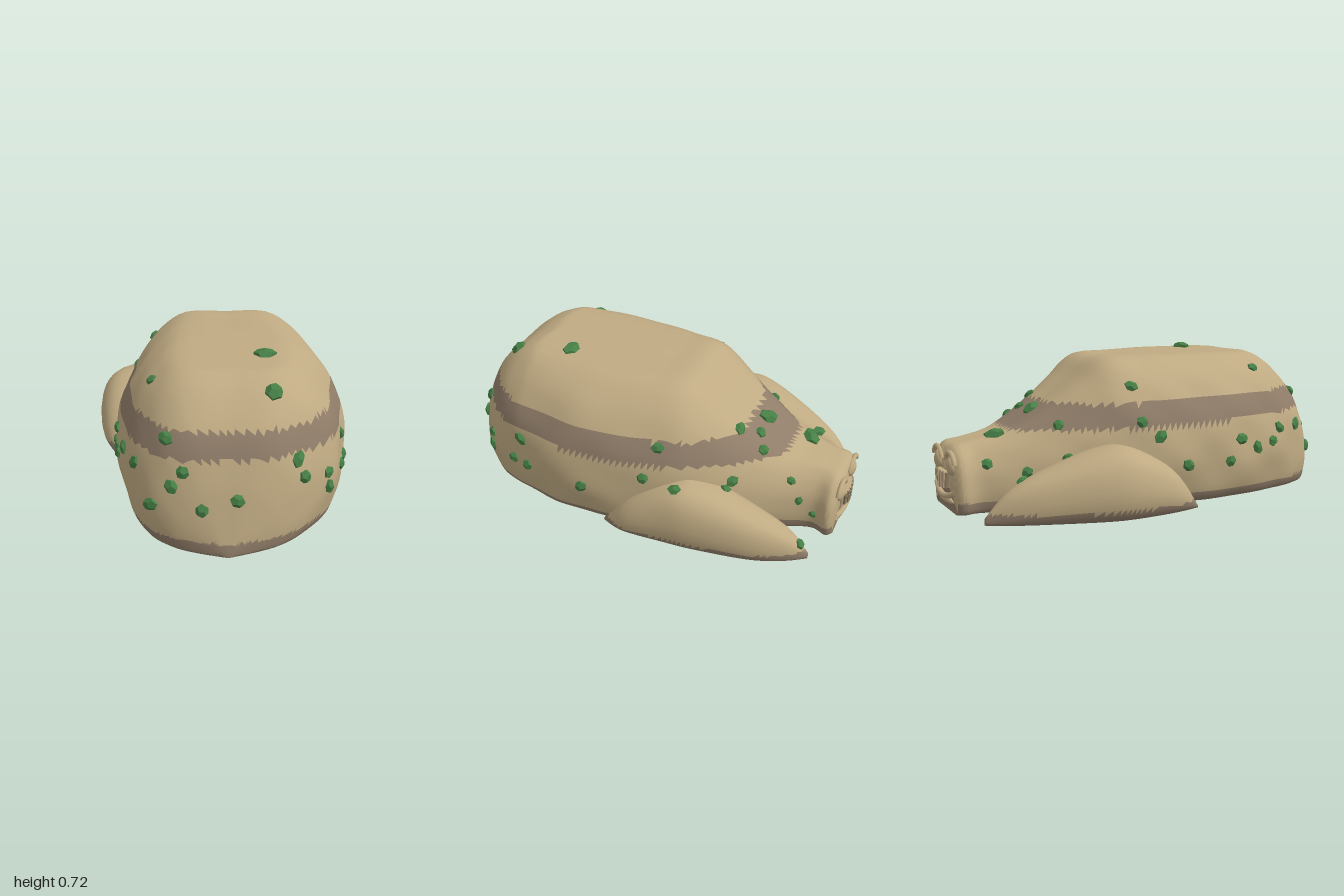
import * as THREE from 'three';
import { toCreasedNormals } from 'three/addons/utils/BufferGeometryUtils.js';

const mat = (name, color) => Object.assign(new THREE.MeshStandardMaterial({ color }), { name });

// Uniform Catmull-Rom interpolation of rows of numbers
function resample(rows, sub) {
  const out = [], n = rows.length - 1, at = (i) => rows[Math.max(0, Math.min(n, i))];
  for (let k = 0; k <= n * sub; k++) {
    const i = Math.min(n - 1, Math.floor(k / sub)), t = k / sub - i;
    const [a, b, c, d] = [at(i - 1), at(i), at(i + 1), at(i + 2)];
    out.push(b.map((p, m) => p + 0.5 * t * (c[m] - a[m] + t * (2 * a[m] - 5 * p + 4 * c[m] - d[m]
      + t * (3 * (p - c[m]) + d[m] - a[m])))));
  }
  return out;
}

// Loft along z. Stations are [z, xMin, xMax, height]; half is the right half of the section.
// isDark(y, z) picks the second material for a face.
function loft(stations, half, sub, samples, isDark, bump, top = 9) {
  const curve = new THREE.SplineCurve(half.map(([u, v]) => new THREE.Vector2(u, v)));
  const right = curve.getPoints(samples);
  const ring = [...right, ...right.slice(0, -1).reverse().map((p) => new THREE.Vector2(-p.x, p.y))];
  const rows = resample(stations, sub), m = ring.length, pos = [];
  for (const [z, x0, x1, h] of rows) {
    for (const p of ring) {
      const y = Math.max(0, Math.min(top, p.y * h));
      const swell = 1 + bump * Math.sin(z * 17 + p.x * 5) * Math.sin(y * 19 + p.x * 3 + z * 5);
      pos.push((x0 + x1) / 2 + p.x * swell * (x1 - x0) / 2, y, z);
    }
  }
  const last = rows.length - 1;
  for (const r of [rows[0], rows[last]]) pos.push((r[1] + r[2]) / 2, r[3] / 2, r[0]);
  const lists = [[], []];
  const tri = (...ids) => {
    const mean = (k) => ids.reduce((s, i) => s + pos[i * 3 + k], 0) / 3;
    lists[isDark(mean(1), mean(2)) ? 1 : 0].push(...ids);
  };
  const c0 = rows.length * m;
  for (let j = 0; j < m; j++) {
    const k = (j + 1) % m;
    for (let i = 0; i < last; i++) {
      const a = i * m + j, b = i * m + k;
      tri(a, b, a + m);
      tri(b, b + m, a + m);
    }
    tri(c0, k, j);
    tri(c0 + 1, last * m + j, last * m + k);
  }
  const geo = new THREE.BufferGeometry();
  geo.setAttribute('position', new THREE.Float32BufferAttribute(pos, 3));
  geo.setIndex([...lists[0], ...lists[1]]);
  geo.addGroup(0, lists[0].length, 0);
  geo.addGroup(lists[0].length, lists[1].length, 1);
  return toCreasedNormals(geo, 0.9);
}

export function createModel() {
  const model = new THREE.Group();
  const tan = mat('sandy hide', 0xbfaa82);
  const brown = mat('brown band', 0x907d69);
  const green = mat('green growth', 0x467f46);
  const add = (name, geo, material, parent = model) => {
    const mesh = new THREE.Mesh(geo, material);
    mesh.name = name;
    parent.add(mesh);
    return mesh;
  };

  // Domed body running into neck and head, with a band round the shell and a dark underside
  const body = add('body', loft([
    [-0.96, -0.16, 0.21, 0.29], [-0.93, -0.185, 0.24, 0.31], [-0.85, -0.175, 0.215, 0.325],
    [-0.7, -0.24, 0.28, 0.36], [-0.5, -0.33, 0.39, 0.47], [-0.35, -0.39, 0.46, 0.58],
    [-0.22, -0.43, 0.51, 0.68], [-0.05, -0.47, 0.56, 0.69], [0.12, -0.49, 0.595, 0.695],
    [0.3, -0.5, 0.6, 0.7], [0.5, -0.475, 0.565, 0.7], [0.6, -0.45, 0.54, 0.69],
    [0.72, -0.41, 0.49, 0.63], [0.85, -0.34, 0.37, 0.5], [0.92, -0.25, 0.27, 0.33],
    [0.96, -0.15, 0.17, 0.18], [1, 0.01, 0.03, 0.01],
  ], [[0.82, 0], [0.93, 0.04], [0.99, 0.2], [1, 0.36], [0.95, 0.58], [0.83, 0.76], [0.67, 0.9], [0.42, 1], [0, 1]],
  6, 30, (y, z) => y < 0.06 || (y > 0.385 + 0.025 * z && y < 0.495 + 0.025 * z), 0.012, 0.695), [tan, brown]);

  // Flippers
  const flipperHalf = [[0.65, 0], [0.9, 0.1], [1, 0.4], [0.85, 0.75], [0.5, 0.95], [0, 1]];
  const flipper = (name, rows) => add(name, loft(rows, flipperHalf, 6, 14, (y) => y < 0.05, 0), [tan, brown]);
  const flippers = [
    flipper('rightFlipper', [
      [-0.9, -0.36, -0.34, 0.03], [-0.8, -0.43, -0.32, 0.14], [-0.65, -0.51, -0.28, 0.22],
      [-0.4, -0.615, -0.25, 0.305], [-0.25, -0.635, -0.25, 0.31], [-0.05, -0.605, -0.3, 0.2], [0.08, -0.53, -0.45, 0.02],
    ]),
    flipper('leftFlipper', [
      [-0.9, 0.385, 0.4, 0.03], [-0.8, 0.35, 0.48, 0.14], [-0.65, 0.33, 0.55, 0.22],
      [-0.4, 0.3, 0.605, 0.305], [-0.25, 0.3, 0.62, 0.31], [-0.05, 0.3, 0.625, 0.2], [0.08, 0.5, 0.56, 0.02],
    ]),
  ];

  // Face
  const face = new THREE.Group();
  face.name = 'face';
  face.position.set(0.027, 0, -0.96);
  model.add(face);
  for (const s of [-1, 1]) {
    const eye = add('eye', new THREE.SphereGeometry(0.042, 20, 14), tan, face);
    eye.position.set(s * 0.1, 0.215, 0);
    eye.scale.z = 0.55;
    const brow = add('brow', new THREE.TorusGeometry(0.057, 0.012, 8, 20, Math.PI * 0.85), tan, face);
    brow.position.set(s * 0.1, 0.222, -0.005);
    brow.rotation.z = 0.235;
    brow.scale.x = 1.2;
  }
  // Fan of thin teeth on a raised muzzle
  const muzzle = add('muzzle', new THREE.CylinderGeometry(0.085, 0.06, 0.075, 20), tan, face);
  muzzle.position.set(0, 0.145, 0);
  muzzle.scale.z = 0.35;
  for (let i = -5; i <= 5; i++) {
    const a = i / 5;
    const tooth = add('tooth', new THREE.BoxGeometry(0.005, 0.078, 0.009), i % 2 ? brown : tan, face);
    tooth.position.set(a * 0.063, 0.146, -0.031 + 0.013 * a * a);
    tooth.rotation.z = -a * 0.25;
  }
  // Wide upturned lip
  const lipCurve = new THREE.QuadraticBezierCurve3(
    new THREE.Vector3(-0.145, 0.1, 0), new THREE.Vector3(0, 0.035, -0.03), new THREE.Vector3(0.145, 0.1, 0));
  add('lip', new THREE.TubeGeometry(lipCurve, 24, 0.014, 8), tan, face);
  const lower = add('lowerLip', new THREE.SphereGeometry(0.12, 20, 12), tan, face);
  lower.scale.set(1, 0.15, 0.16);
  lower.position.set(0, 0.05, 0);

  // Green growths: cast onto the surface from above, behind and both sides
  const growths = new THREE.Group();
  growths.name = 'growths';
  model.add(growths);
  model.updateMatrixWorld(true);
  const ray = new THREE.Raycaster();
  let count = 0;
  const grow = (from, dir, size) => {
    ray.set(from, dir);
    const hit = ray.intersectObjects([body, ...flippers], false)[0];
    if (!hit) return;
    const lump = add('growth', new THREE.DodecahedronGeometry(1, 0), green, growths);
    lump.position.copy(hit.point);
    lump.quaternion.setFromUnitVectors(new THREE.Vector3(0, 0, 1), hit.face.normal);
    lump.rotateZ(count++ * 1.3);
    lump.scale.set(size * (1 + 0.15 * Math.sin(count * 2)), size * 0.8, size * 0.55);
  };
  const V = (x, y, z) => new THREE.Vector3(x, y, z);
  const above = [
    [0.2, 0.42], [0.22, 0.71], [-0.31, 0.53], [-0.06, -0.75], [-0.16, -0.82], [-0.22, -0.77], [-0.25, -0.66],
    [-0.34, -0.72], [-0.34, -0.5], [-0.24, -0.5], [0, -0.54], [0.13, -0.55], [0.2, -0.59], [0.2, -0.47],
    [0.28, -0.78], [0.36, -0.5], [0.39, -0.48], [0.47, -0.17], [-0.33, -0.17], [0.4, -0.86], [0.53, -0.28],
  ];
  above.forEach(([x, z], i) => grow(V(x, 2, z), V(0, -1, 0), i < 2 || i === 3 || i === 10 ? 0.05 : 0.033));
  const behind = [
    [-0.24, 0.48], [-0.17, 0.36], [-0.22, 0.295], [-0.31, 0.195], [-0.09, 0.205], [0.06, 0.245], [0.32, 0.385], [0.35, 0.305],
  ];
  behind.forEach(([x, y]) => grow(V(x, y, 2), V(0, 0, -1), 0.037));
  const leftSide = [
    [0.75, 0.27], [0.75, 0.2], [0.58, 0.22], [0.49, 0.22], [0.53, 0.35], [0.17, 0.225], [-0.12, 0.32],
    [-0.74, 0.275], [-0.79, 0.18], [-0.86, 0.11],
  ];
  leftSide.forEach(([z, y]) => grow(V(2, y, z), V(-1, 0, 0), z < -0.5 ? 0.024 : 0.035));
  const rightSide = [
    [0.75, 0.33], [0.61, 0.33], [0.55, 0.27], [0.45, 0.25], [0.35, 0.3], [0.28, 0.2], [0.05, 0.2], [-0.08, 0.34], [-0.16, 0.41],
  ];
  rightSide.forEach(([z, y]) => grow(V(-2, y, z), V(1, 0, 0), 0.035));

  return model;
}
